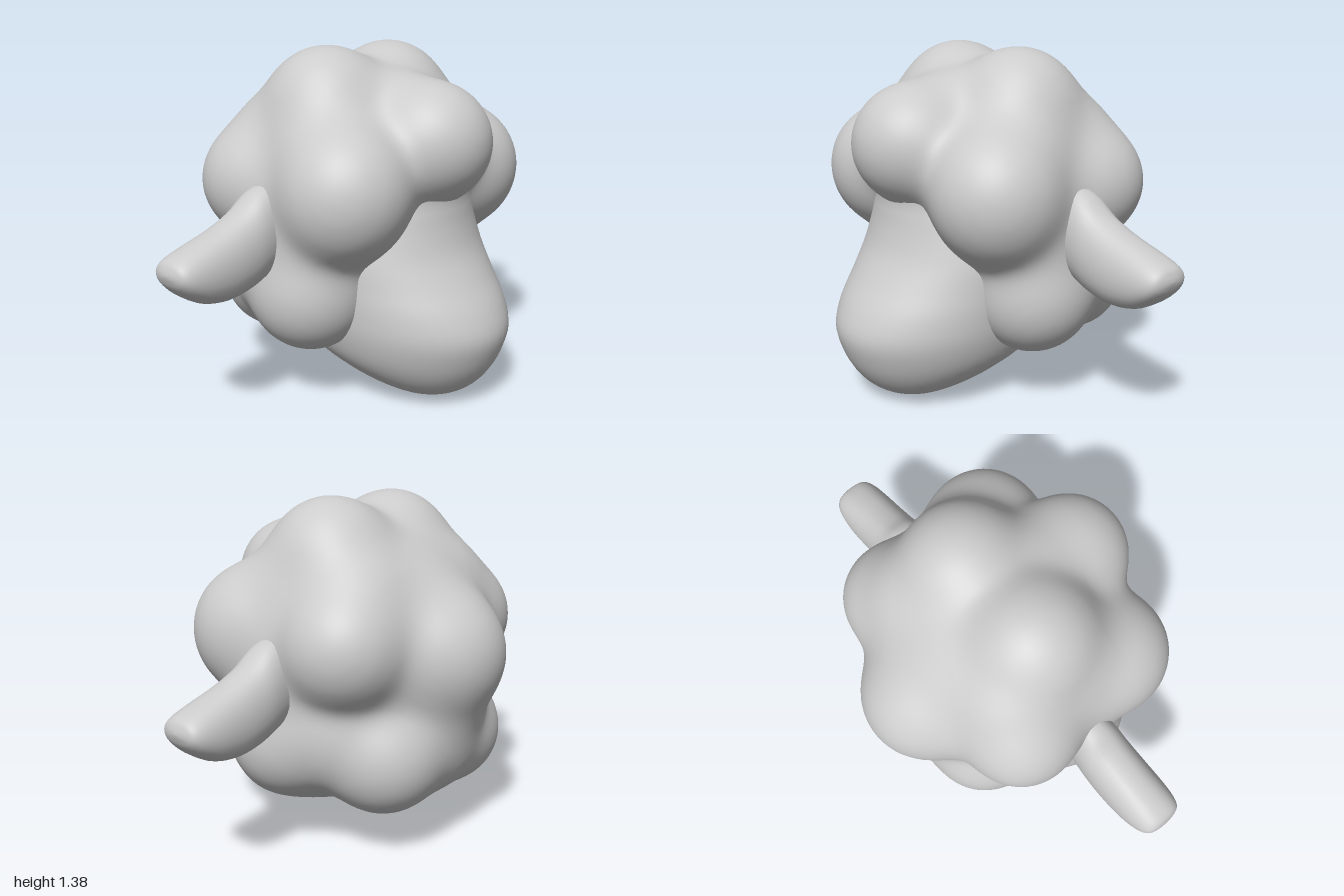
import * as THREE from 'three';
import { mergeVertices } from 'three/addons/utils/BufferGeometryUtils.js';

const material = new THREE.MeshStandardMaterial({ color: 0xcccccc, roughness: 0.8 });

// Wool tufts: x, y, z, radius; those with x > 0 are mirrored
const tufts = [
  [0, 0.8, -0.08, 0.46],      // core
  [0, 1.02, 0.345, 0.232],    // forelock
  [0.19, 1.138, -0.03, 0.242], // crown
  [0.36, 0.88, 0.22, 0.232],  // cheek
  [0.365, 0.82, 0.215, 0.21], // lower cheek
  [0.365, 0.855, -0.24, 0.225], // upper back side
  [0, 0.79, -0.41, 0.258],    // nape
  [0.365, 0.45, 0.04, 0.235], // lower side
  [0.21, 0.405, -0.305, 0.228], // lower back
  [0, 1.07, 0.16, 0.2],       // fill behind the forelock
  [0.28, 0.99, 0.07, 0.21],   // fill between crown and cheek
  [0.25, 0.99, -0.19, 0.21],  // fill between crown and back
  [0.3, 0.8, -0.02, 0.235],   // fill behind the ear
  [0.335, 0.64, 0.03, 0.22],  // fill below the ear
  [0.3, 0.5, -0.14, 0.22],    // fill of the lower flank
  [0, 0.42, -0.31, 0.225],    // fill of the lower back
  [0, 0.58, -0.36, 0.2],      // fill below the nape
].flatMap(([x, y, z, r]) => (x ? [[x, y, z, r], [-x, y, z, r]] : [[x, y, z, r]]));

// Softly blended distance to all tufts
function woolDistance(p, k = 26) {
  let sum = 0;
  for (const [x, y, z, r] of tufts) {
    sum += Math.exp(-k * (Math.hypot(p.x - x, p.y - y, p.z - z) - r));
  }
  return -Math.log(sum) / k;
}

// A fine sphere shrunk onto the blended tufts
function woolGeometry() {
  let geo = new THREE.IcosahedronGeometry(1, 40);
  geo.deleteAttribute('uv');
  geo.deleteAttribute('normal');
  geo = mergeVertices(geo);
  const centre = new THREE.Vector3(0, 0.75, -0.05);
  const pos = geo.attributes.position;
  const dir = new THREE.Vector3(), p = new THREE.Vector3();
  for (let i = 0; i < pos.count; i++) {
    dir.fromBufferAttribute(pos, i).normalize();
    let t = 1.2;
    for (let n = 0; n < 80; n++) {
      const d = woolDistance(p.copy(centre).addScaledVector(dir, t));
      if (d < 0.0005) break;
      t -= d;
    }
    pos.setXYZ(i, p.x, p.y, p.z);
  }
  geo.computeVertexNormals();
  return geo;
}

// Loft of rounded rings; ringPoint(t, angle) gives a point
function loft(ringPoint, rows, cols) {
  const pts = [], index = [];
  for (let i = 0; i <= rows; i++) {
    for (let j = 0; j < cols; j++) pts.push(...ringPoint(i / rows, (j / cols) * Math.PI * 2));
  }
  for (let i = 0; i < rows; i++) {
    for (let j = 0; j < cols; j++) {
      const a = i * cols + j, b = i * cols + ((j + 1) % cols);
      index.push(a, b, a + cols, b, b + cols, a + cols);
    }
  }
  let geo = new THREE.BufferGeometry();
  geo.setAttribute('position', new THREE.Float32BufferAttribute(pts, 3));
  geo.setIndex(index);
  geo = mergeVertices(geo, 1e-5);
  geo.computeVertexNormals();
  return geo;
}

const spline = (points) =>
  new THREE.CatmullRomCurve3(points.map((p) => new THREE.Vector3(...p)), false, 'catmullrom', 0.5);

// Face: y, half width, back z, front z
function faceGeometry() {
  const rows = [
    [0.002, 0, 0.37, 0.37], [0.018, 0.115, 0.24, 0.475], [0.06, 0.205, 0.1, 0.55],
    [0.12, 0.28, -0.07, 0.605], [0.2, 0.34, -0.23, 0.648], [0.3, 0.373, -0.3, 0.672],
    [0.4, 0.385, -0.3, 0.637], [0.5, 0.392, -0.3, 0.57], [0.6, 0.395, -0.28, 0.508],
    [0.7, 0.37, -0.25, 0.475], [0.8, 0.325, -0.2, 0.457], [0.92, 0.26, -0.15, 0.43],
    [1, 0, 0.1, 0.1],
  ];
  const side = spline(rows.map(([y, w, b, f]) => [w, y, (b + f) / 2]));
  const depth = spline(rows.map(([y, , b, f]) => [(f - b) / 2, y, 0]));
  return loft((t, a) => {
    const s = side.getPoint(t), d = depth.getPoint(t).x;
    return [s.x * Math.sin(a), s.y, s.z + d * Math.cos(a)];
  }, 48, 48);
}

// Ear: x, top y, bottom y, half thickness
function earGeometry() {
  const rows = [
    [0.45, 0.91, 0.6, 0.09], [0.58, 0.88, 0.545, 0.105], [0.67, 0.815, 0.516, 0.111],
    [0.77, 0.77, 0.503, 0.113], [0.87, 0.738, 0.52, 0.11], [0.94, 0.715, 0.56, 0.1],
    [0.98, 0.695, 0.6, 0.08], [0.995, 0.67, 0.63, 0.045], [1, 0.65, 0.65, 0],
  ];
  const middle = spline(rows.map(([x, t, b]) => [x, (t + b) / 2, 0]));
  const size = spline(rows.map(([x, t, b, h]) => [x, (t - b) / 2, h]));
  const round = (v) => Math.sign(v) * Math.abs(v) ** 0.8;
  return loft((t, a) => {
    const m = middle.getPoint(t), s = size.getPoint(t);
    const c = round(Math.cos(a));
    // thinner along the upper edge
    return [m.x, m.y + s.y * c, -0.035 + s.z * round(Math.sin(a)) * (1 - 0.15 * Math.max(c, 0))];
  }, 32, 32);
}

// Mirrored copy in x with the winding turned round
function mirrorX(geo) {
  const copy = geo.clone().scale(-1, 1, 1);
  copy.index.array.reverse();
  copy.computeVertexNormals();
  return copy;
}

export function createModel() {
  const group = new THREE.Group();
  group.name = 'sheepHead';
  const add = (name, geo) => {
    const mesh = new THREE.Mesh(geo, material);
    mesh.name = name;
    group.add(mesh);
  };
  add('wool', woolGeometry());
  add('face', faceGeometry());
  const ear = earGeometry();
  add('leftEar', ear);
  add('rightEar', mirrorX(ear));
  return group;
}
